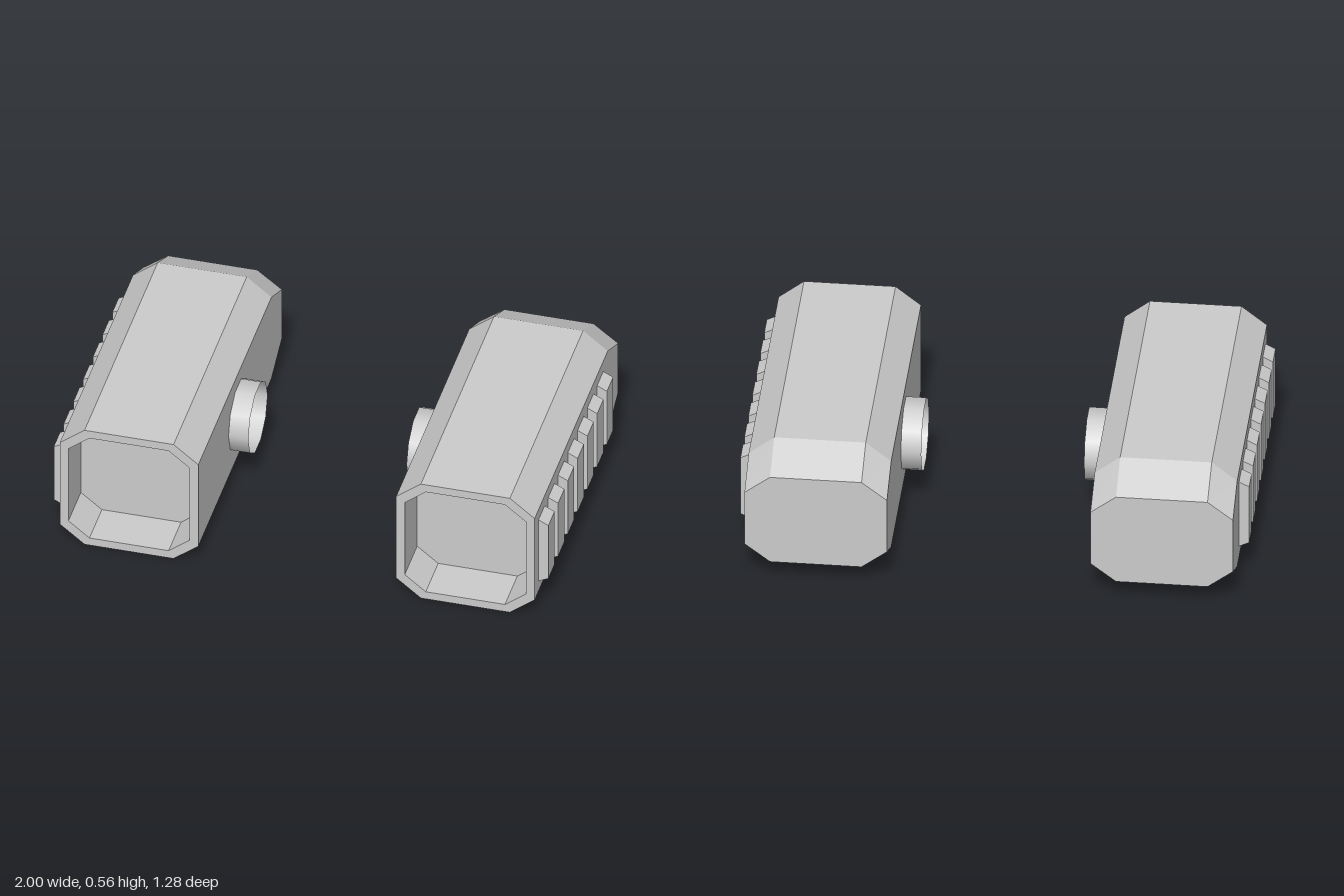
import * as THREE from 'three';

const MID_Y = 0.28;

// Chamfered octagon ring, counter-clockwise seen from +z
function ring(z, halfX, flatX, halfY, flatY) {
  return [
    [halfX, -flatY], [halfX, flatY], [flatX, halfY], [-flatX, halfY],
    [-halfX, flatY], [-halfX, -flatY], [-flatX, -halfY], [flatX, -halfY],
  ].map(([x, y]) => new THREE.Vector3(x, y, z));
}

// Joins rings back to front and closes both ends with a fan
function loft(rings) {
  const pts = [];
  const n = rings[0].length;
  const first = rings[0], last = rings[rings.length - 1];
  const backMid = new THREE.Vector3(0, 0, first[0].z);
  const frontMid = new THREE.Vector3(0, 0, last[0].z);
  for (let k = 0; k < n; k++) {
    const j = (k + 1) % n;
    for (let i = 0; i < rings.length - 1; i++) {
      const a = rings[i], b = rings[i + 1];
      pts.push(a[k], a[j], b[j], a[k], b[j], b[k]);
    }
    pts.push(backMid, first[j], first[k], frontMid, last[k], last[j]);
  }
  const geo = new THREE.BufferGeometry().setFromPoints(pts);
  geo.computeVertexNormals();
  return geo;
}

export function createModel() {
  const model = new THREE.Group();
  model.name = 'twinPods';
  const flat = new THREE.MeshStandardMaterial({ color: 0xcccccc, flatShading: true });
  const smooth = new THREE.MeshStandardMaterial({ color: 0xcccccc, side: THREE.DoubleSide });

  // Housing: sloped back, straight body, rim and recessed front
  const housingGeo = loft([
    ring(-0.64, 0.28, 0.18, 0.197, 0.12),
    ring(-0.48, 0.28, 0.18, 0.28, 0.2),
    ring(0.64, 0.28, 0.18, 0.28, 0.2),
    ring(0.64, 0.245, 0.16, 0.245, 0.177),
    ring(0.45, 0.245, 0.16, 0.245, 0.177),
  ]);

  // Open connector tube lying along x
  const connectorGeo = new THREE.CylinderGeometry(0.148, 0.148, 0.08, 10, 1, true);
  connectorGeo.rotateZ(Math.PI / 2);

  for (const side of [1, -1]) {
    const pod = new THREE.Group();
    pod.name = side > 0 ? 'leftPod' : 'rightPod';
    pod.position.set(side * 0.68, MID_Y, 0);
    model.add(pod);

    const add = (name, geo, mat, x, y, z) => {
      const mesh = new THREE.Mesh(geo, mat);
      mesh.name = name;
      mesh.position.set(x, y, z);
      pod.add(mesh);
    };

    add('housing', housingGeo, flat, 0, 0, 0);
    add('connector', connectorGeo, smooth, -side * 0.32, 0, 0.03);

    // Seven ribs with bevelled ends on the outer wall
    const profile = new THREE.Shape([
      [0.28, -0.15], [0.32, -0.13], [0.32, 0.13], [0.28, 0.15],
    ].map(([x, y]) => new THREE.Vector2(side * x, y)));
    const ribGeo = new THREE.ExtrudeGeometry(profile, { depth: 0.095, bevelEnabled: false });
    for (let i = 0; i < 7; i++) {
      add('rib' + (i + 1), ribGeo, flat, 0, 0, 0.486 - i * 0.1495);
    }
  }
  return model;
}
